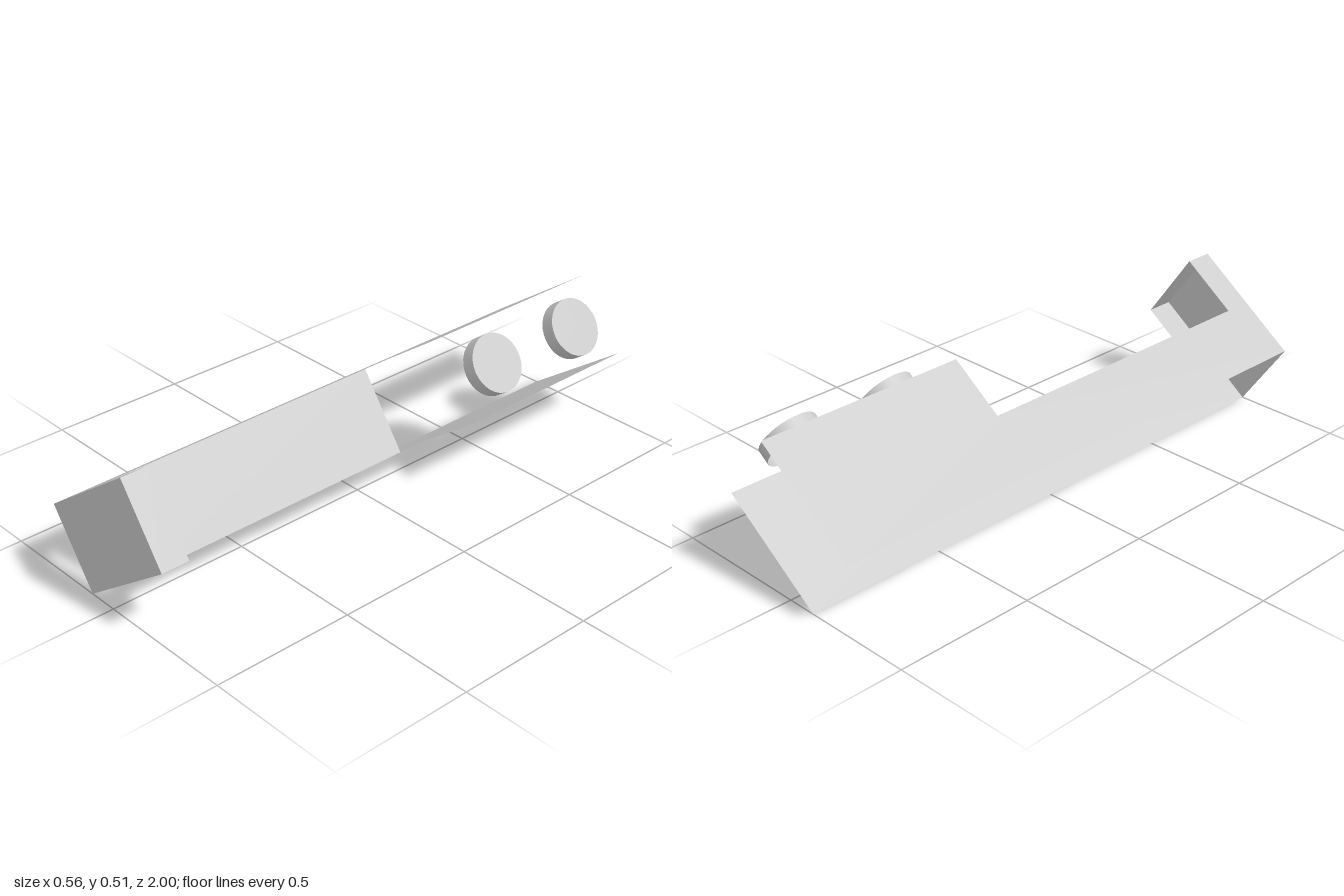
import * as THREE from 'three';

const DEPTH = 0.454;   // full depth of the side walls
const SEAT = 0.224;    // depth of the recessed panel
const WIDTH = 0.3;     // distance between the side walls

export function createModel() {
  const model = new THREE.Group();
  const mat = new THREE.MeshStandardMaterial({ color: 0xcccccc, side: THREE.DoubleSide });

  // The shell is an open channel: x = depth, y = width, z = length, tilted about z
  const shell = new THREE.Group();
  shell.name = 'tiltedShell';
  shell.position.set(-0.107, 0, 0);
  shell.rotation.z = Math.atan2(0.262, 0.37);
  model.add(shell);

  const add = (name, geometry, x, y, z) => {
    const mesh = new THREE.Mesh(geometry, mat);
    mesh.name = name;
    mesh.position.set(x, y, z);
    shell.add(mesh);
  };

  // Thin side walls with a long notch between the toe and the rear block
  const profile = new THREE.Shape([
    [0, -1], [DEPTH, -1], [DEPTH, -0.23], [SEAT, -0.23],
    [SEAT, 0.9], [DEPTH, 0.9], [DEPTH, 1], [0, 1],
  ].map(([x, z]) => new THREE.Vector2(x, z)));
  const wall = new THREE.ShapeGeometry(profile).rotateX(Math.PI / 2);
  add('lowerSideWall', wall, 0, 0, 0);
  add('upperSideWall', wall, 0, WIDTH, 0);

  // Front end plate, toe strip and recessed panel
  add('frontPlate', new THREE.PlaneGeometry(DEPTH, WIDTH), DEPTH / 2, WIDTH / 2, 1);
  const facing = (length) => new THREE.PlaneGeometry(length, WIDTH).rotateY(Math.PI / 2);
  add('toeStrip', facing(0.1), DEPTH, WIDTH / 2, 0.95);
  add('recessedPanel', facing(1.025), SEAT, WIDTH / 2, 0.3875);

  // Two round studs, each an open rim with a cap
  const r = 0.102, h = 0.051;
  const rim = new THREE.CylinderGeometry(r, r, h, 32, 1, true).rotateZ(-Math.PI / 2);
  const cap = new THREE.CircleGeometry(r, 32).rotateY(Math.PI / 2);
  for (const z of [-0.425, -0.81]) {
    add('studRim', rim, DEPTH + h / 2, WIDTH / 2, z);
    add('studCap', cap, DEPTH + h, WIDTH / 2, z);
  }
  return model;
}
